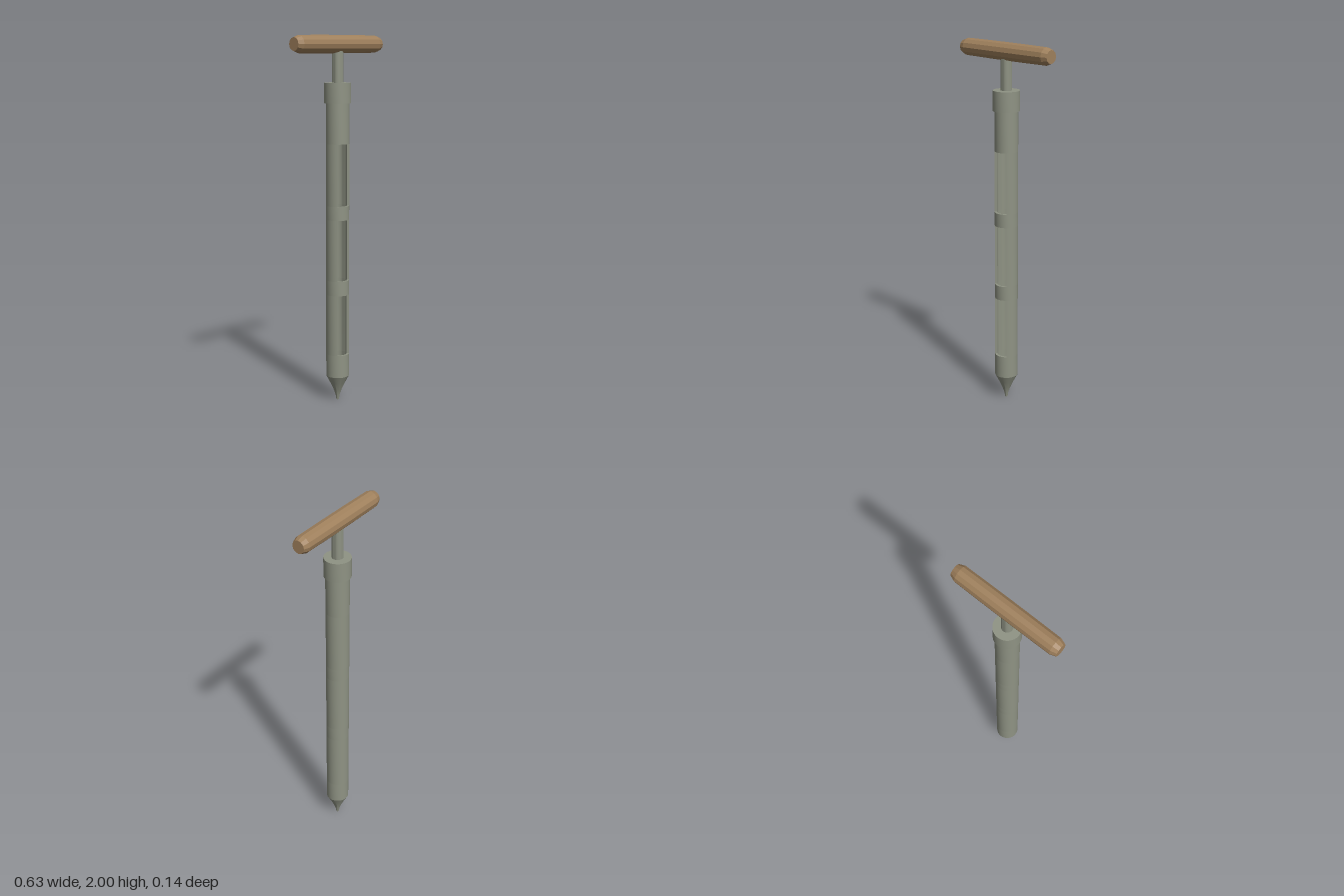
import * as THREE from 'three';
import { toCreasedNormals } from 'three/addons/utils/BufferGeometryUtils.js';

export function createModel() {
  const model = new THREE.Group();
  const metal = new THREE.MeshStandardMaterial({ color: 0x8f9384 });
  metal.name = 'grey metal';
  const wood = new THREE.MeshStandardMaterial({ color: 0x9f805c });
  wood.name = 'brown wood';

  const add = (name, geometry, material) => {
    const mesh = new THREE.Mesh(geometry, material);
    mesh.name = name;
    model.add(mesh);
    return mesh;
  };
  const lathe = (points, sides, crease = 0.6, start = 0, length = Math.PI * 2) =>
    toCreasedNormals(
      new THREE.LatheGeometry(points.map(([r, y]) => new THREE.Vector2(r, y)), sides, start, length),
      crease
    );

  // Hollow tube: full rings alternating with slotted lengths open to the front
  const outer = 0.063, inner = 0.05, halfSlot = Math.PI / 4;
  const wall = (y0, y1) => [[outer, y0], [outer, y1], [inner, y1], [inner, y0], [outer, y0]];
  const levels = [0.14, 0.265, 0.6, 0.68, 1.015, 1.09, 1.425, 1.65];
  for (let i = 0; i < levels.length - 1; i++) {
    const y0 = levels[i], y1 = levels[i + 1];
    if (i % 2 === 0) {
      add('tubeRing', lathe(wall(y0, y1), 32), metal);
      continue;
    }
    add('slottedTube', lathe(wall(y0, y1), 24, 0.6, halfSlot, Math.PI * 2 - 2 * halfSlot), metal);
    // Cut faces along both sides of the slot
    for (const side of [-1, 1]) {
      const cut = add('slotEdge', new THREE.PlaneGeometry(outer - inner, y1 - y0), metal);
      const mid = (outer + inner) / 2;
      cut.position.set(side * mid * Math.sin(halfSlot), (y0 + y1) / 2, mid * Math.cos(halfSlot));
      cut.rotation.y = side > 0 ? -halfSlot : halfSlot;
    }
  }

  // Pointed tip, closing the bottom of the tube
  add('tip', lathe([
    [0, 0], [0.007, 0], [0.011, 0.025], [0.023, 0.06], [0.042, 0.1], [outer, 0.14], [0, 0.14],
  ], 32), metal);

  // Collar and handle shaft
  add('collar', lathe([[0, 1.642], [0.072, 1.642], [0.072, 1.75], [0, 1.75]], 32), metal);
  add('shaft', lathe([[0, 1.74], [0.03, 1.74], [0.03, 1.945], [0, 1.945]], 24), metal);

  // Faceted cross handle, slightly swollen in the middle
  const handle = add('handle', lathe([
    [0, -0.315], [0.035, -0.315], [0.0465, -0.283], [0.048, -0.09],
    [0.048, 0.09], [0.0465, 0.283], [0.035, 0.315], [0, 0.315],
  ], 12, 0.25), wood);
  handle.rotation.z = Math.PI / 2;
  handle.position.y = 1.952;

  return model;
}
